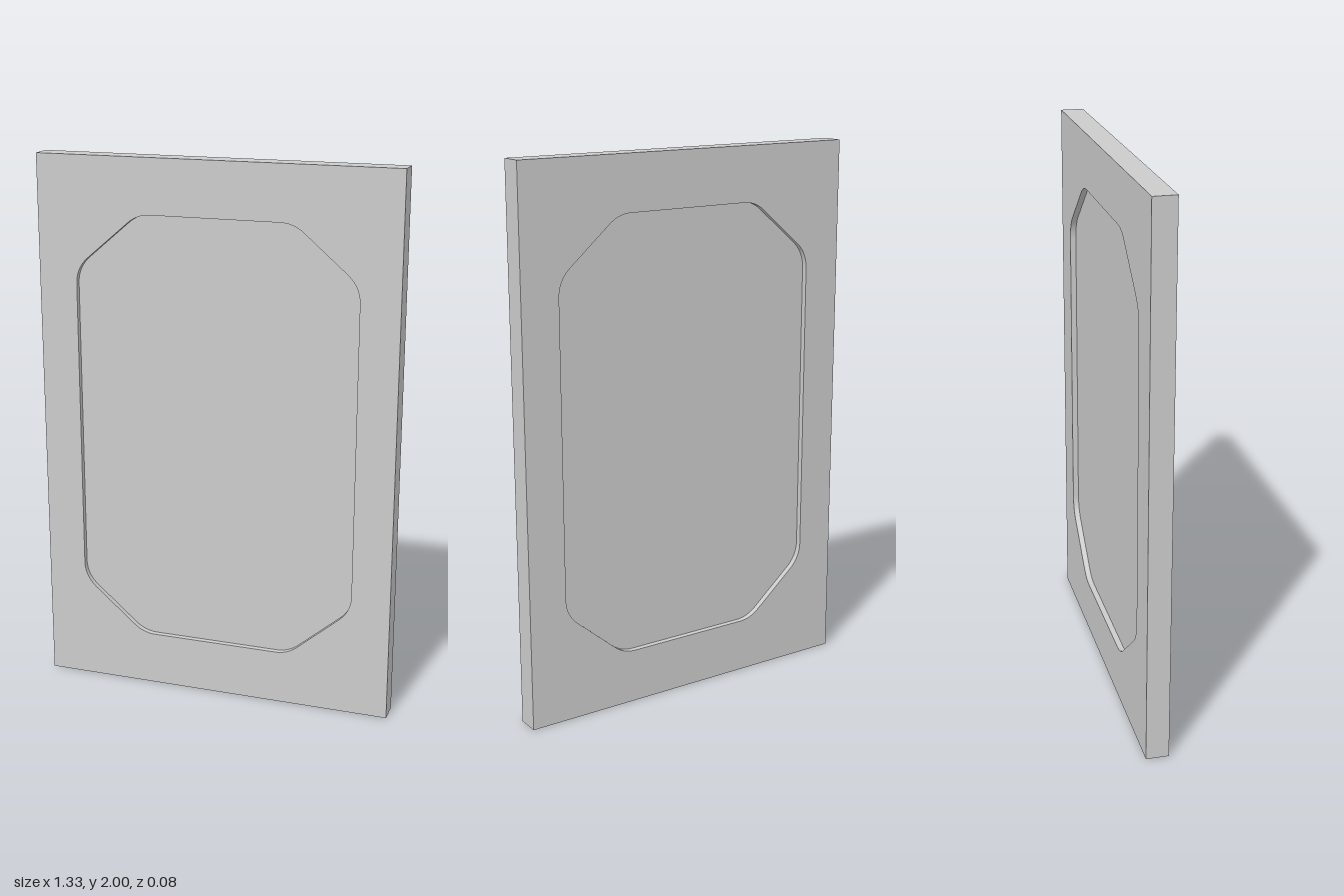
import * as THREE from 'three';
import { toCreasedNormals } from 'three/addons/utils/BufferGeometryUtils.js';

const WIDTH = 1.33, HEIGHT = 2, DEPTH = 0.083;
const PANEL_DEPTH = 0.041;
const CORNER_RADIUS = 0.13;

// Octagon corners of the opening, counter-clockwise around the centre
const HALF_W = 0.522, HALF_H = 0.8, FLAT_X = 0.285, FLAT_Y = 0.597;
const corners = [
  [HALF_W, -FLAT_Y], [HALF_W, FLAT_Y], [FLAT_X, HALF_H], [-FLAT_X, HALF_H],
  [-HALF_W, FLAT_Y], [-HALF_W, -FLAT_Y], [-FLAT_X, -HALF_H], [FLAT_X, -HALF_H],
].map(([x, y]) => new THREE.Vector2(x, y));

// Trace a closed polygon with every corner rounded to the same radius
function traceRounded(path, points, radius) {
  points.forEach((p, i) => {
    const toPrev = points.at(i - 1).clone().sub(p).normalize();
    const toNext = points[(i + 1) % points.length].clone().sub(p).normalize();
    const turn = Math.PI - Math.acos(toPrev.dot(toNext));
    const reach = radius * Math.tan(turn / 2);
    const start = p.clone().addScaledVector(toPrev, reach);
    const end = p.clone().addScaledVector(toNext, reach);
    if (i === 0) path.moveTo(start.x, start.y);
    else path.lineTo(start.x, start.y);
    path.quadraticCurveTo(p.x, p.y, end.x, end.y);
  });
  path.closePath();
  return path;
}

// Extrude a shape evenly about z = 0
function slab(name, shape, depth, material) {
  const geometry = new THREE.ExtrudeGeometry(shape, { depth, bevelEnabled: false, curveSegments: 10 });
  geometry.translate(0, HEIGHT / 2, -depth / 2);
  const mesh = new THREE.Mesh(toCreasedNormals(geometry, Math.PI / 6), material);
  mesh.name = name;
  return mesh;
}

export function createModel() {
  const group = new THREE.Group();
  group.name = 'framedPanel';
  const material = new THREE.MeshStandardMaterial({ color: 0xcccccc });

  // Rectangular frame with the rounded octagonal opening
  const frame = new THREE.Shape([
    new THREE.Vector2(-WIDTH / 2, -HEIGHT / 2), new THREE.Vector2(WIDTH / 2, -HEIGHT / 2),
    new THREE.Vector2(WIDTH / 2, HEIGHT / 2), new THREE.Vector2(-WIDTH / 2, HEIGHT / 2),
  ]);
  frame.holes.push(traceRounded(new THREE.Path(), corners, CORNER_RADIUS));
  group.add(slab('frame', frame, DEPTH, material));

  // Thinner panel filling the opening, recessed on both sides
  const panel = traceRounded(new THREE.Shape(), corners, CORNER_RADIUS);
  group.add(slab('recessedPanel', panel, PANEL_DEPTH, material));

  return group;
}
